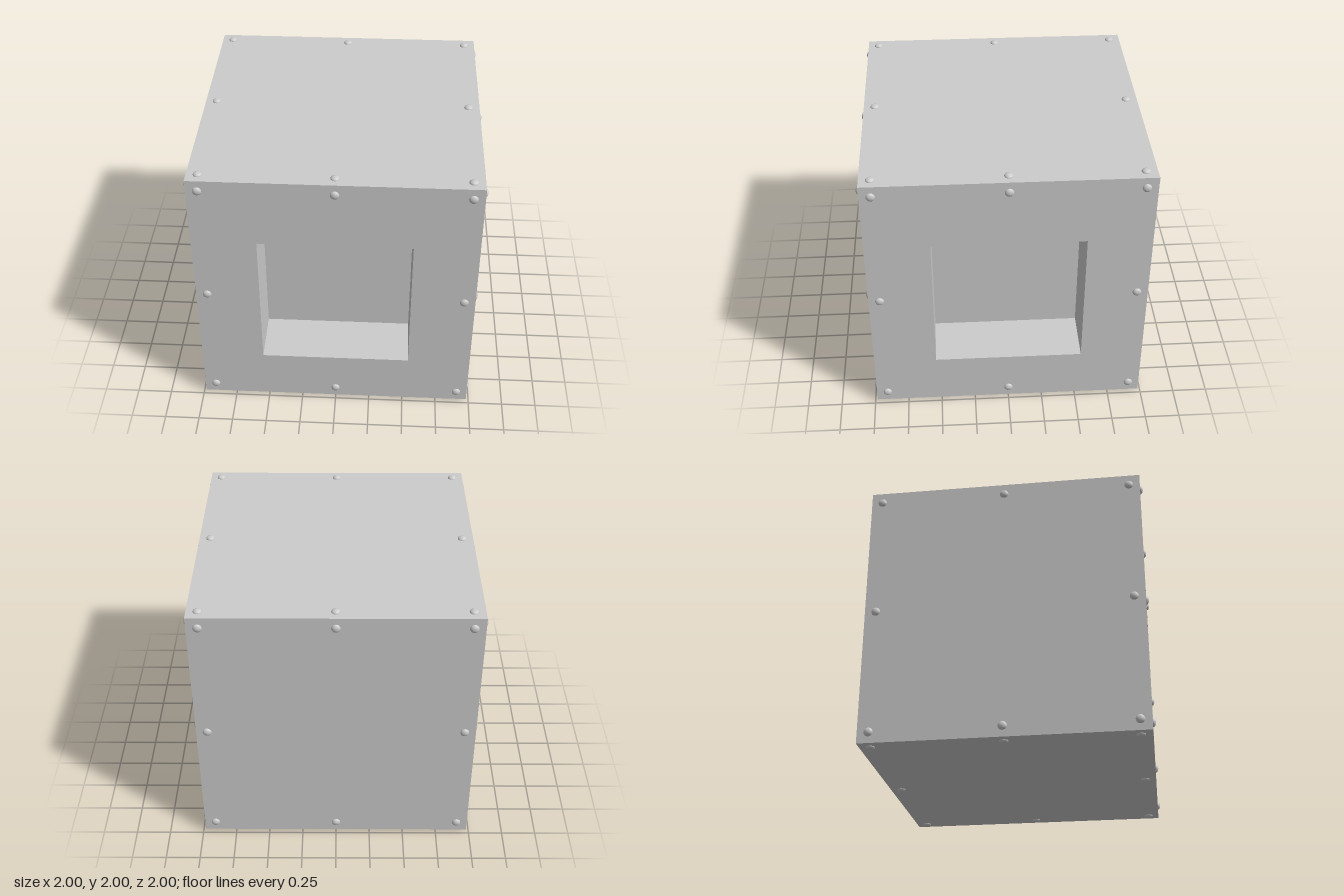
import * as THREE from 'three';

const HALF = 0.981;       // half the cube's edge
const HOLE = 0.532;       // half the width of a window recess
const HOLE_Y = -0.059;    // recess centre relative to the face centre
const DEPTH = 0.388;      // recess depth
const RIVET = 0.9025;     // rivet offset from the face centre

const material = new THREE.MeshStandardMaterial({ color: 0xcccccc });

function addMesh(parent, geometry, name) {
  const mesh = new THREE.Mesh(geometry, material);
  mesh.name = name;
  parent.add(mesh);
  return mesh;
}

// Square outline centred on x = 0 at height y
function square(Type, half, y = 0) {
  const path = new Type();
  path.moveTo(-half, y - half);
  path.lineTo(half, y - half);
  path.lineTo(half, y + half);
  path.lineTo(-half, y + half);
  path.closePath();
  return path;
}

// Four inward-facing walls and a back panel behind the opening
function addRecess(face) {
  const recess = new THREE.Group();
  recess.name = 'windowRecess';
  recess.position.set(0, HOLE_Y, HALF);
  const back = addMesh(recess, new THREE.PlaneGeometry(2 * HOLE, 2 * HOLE), 'recessBack');
  back.position.z = -DEPTH;
  for (let i = 0; i < 4; i++) {
    const wall = new THREE.PlaneGeometry(2 * HOLE, DEPTH);
    wall.rotateX(-Math.PI / 2);
    wall.translate(0, -HOLE, -DEPTH / 2);
    wall.rotateZ(i * Math.PI / 2);
    addMesh(recess, wall, 'recessWall');
  }
  face.add(recess);
}

// Flattened domes at the corners and edge midpoints
function addRivets(face) {
  const dome = new THREE.SphereGeometry(0.031, 24, 8, 0, Math.PI * 2, 0, Math.PI / 2);
  dome.rotateX(Math.PI / 2);
  dome.scale(1, 1, 0.019 / 0.031);
  for (const i of [-1, 0, 1]) {
    for (const j of [-1, 0, 1]) {
      if (i === 0 && j === 0) continue;
      addMesh(face, dome, 'rivet').position.set(i * RIVET, j * RIVET, HALF);
    }
  }
}

// One cube side, built facing +z
function makeFace(name, hasRecess) {
  const face = new THREE.Group();
  face.name = name;
  const outline = square(THREE.Shape, HALF);
  if (hasRecess) {
    outline.holes.push(square(THREE.Path, HOLE, HOLE_Y));
    addRecess(face);
  }
  addMesh(face, new THREE.ShapeGeometry(outline), 'panel').position.z = HALF;
  addRivets(face);
  return face;
}

export function createModel() {
  const model = new THREE.Group();
  model.name = 'rivetedCube';
  const q = Math.PI / 2;
  // name, x rotation, y rotation, has a recess
  const sides = [
    ['frontFace', 0, 0, true],
    ['leftFace', 0, q, true],
    ['backFace', 0, 2 * q, false],
    ['rightFace', 0, -q, false],
    ['topFace', -q, 0, false],
    ['bottomFace', q, 0, false],
  ];
  for (const [name, rx, ry, hasRecess] of sides) {
    const face = makeFace(name, hasRecess);
    face.rotation.set(rx, ry, 0);
    face.position.y = 1;
    model.add(face);
  }
  return model;
}
